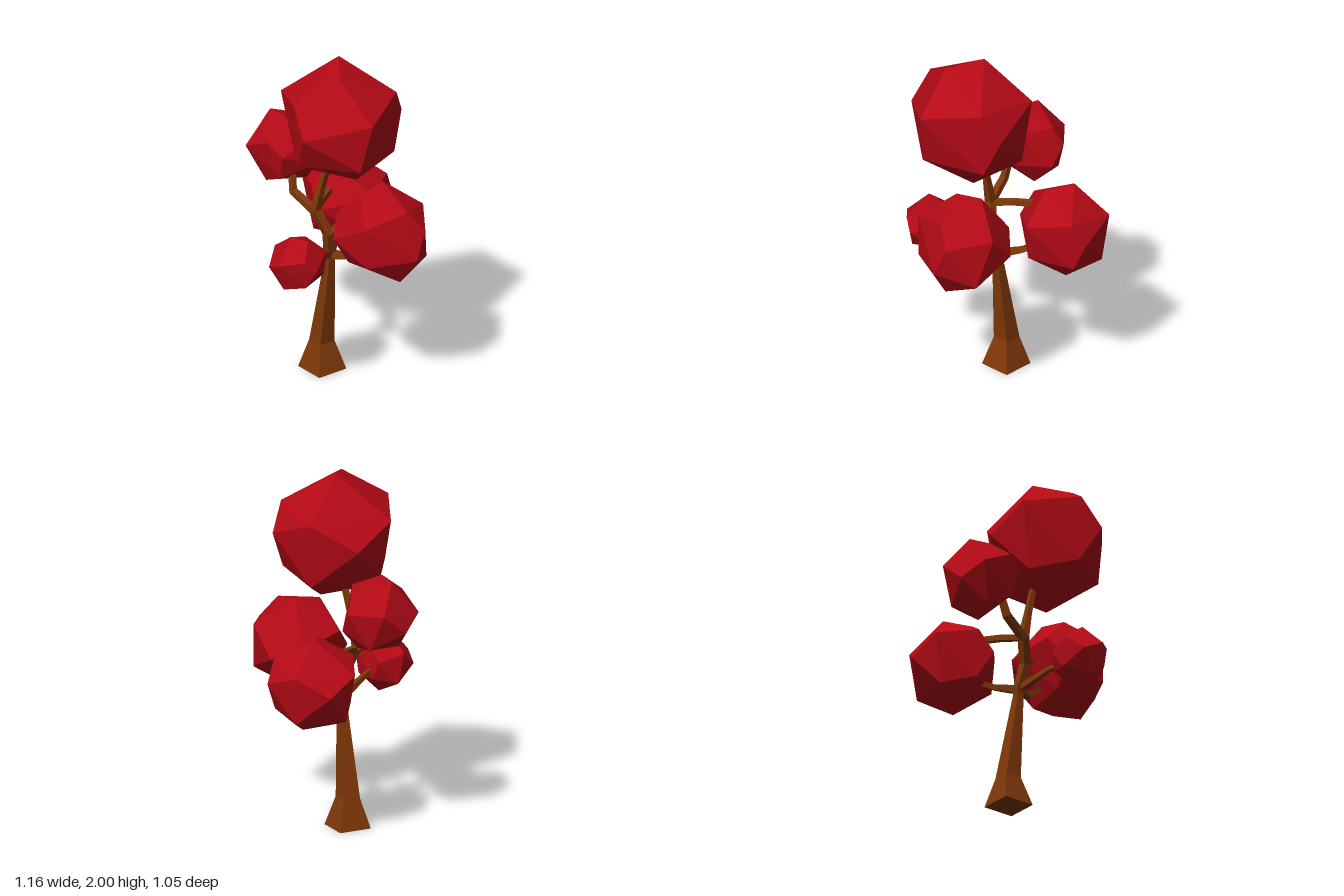
import * as THREE from 'three';
import { ConvexGeometry } from 'three/addons/geometries/ConvexGeometry.js';

const bark = new THREE.MeshStandardMaterial({ color: 0x803808, flatShading: true });
const leaf = new THREE.MeshStandardMaterial({ color: 0xb40a16, flatShading: true });

// Corners of one irregular, faceted leaf clump of radius about 0.36
const CLUMP = [
  [0.36, 0.115, 0.04], [0.12, 0.325, 0.08], [-0.06, 0.365, -0.05], [0.19, 0.175, -0.26],
  [-0.2, 0.13, -0.28], [-0.3, 0.125, 0.17], [0, 0.185, 0.31], [0.12, 0.02, 0.34],
  [0, -0.19, 0.29], [0.3, -0.18, 0.08], [-0.35, -0.015, -0.06], [0.12, 0.015, -0.35],
  [0.06, -0.365, -0.08], [-0.15, -0.245, -0.25], [-0.23, -0.255, 0.13], [0.17, -0.2, -0.26],
];

// Four-sided tapering limb through stations [x, y, z, half width]
function limb(name, stations, level = false) {
  const pts = stations.map(([x, y, z]) => new THREE.Vector3(x, y, z));
  const last = pts.length - 1;
  const span = pts[last].clone().sub(pts[0]);
  const ref = Math.abs(span.z) > 0.7 * span.length()
    ? new THREE.Vector3(1, 0, 0) : new THREE.Vector3(0, 0, 1);
  const rings = pts.map((p, i) => {
    const t = level ? new THREE.Vector3(0, 1, 0)
      : pts[Math.min(i + 1, last)].clone().sub(pts[Math.max(i - 1, 0)]).normalize();
    const u = ref.clone().cross(t).normalize();
    const v = t.clone().cross(u);
    const h = stations[i][3];
    return [[1, 1], [-1, 1], [-1, -1], [1, -1]].map(([a, b]) =>
      p.clone().addScaledVector(u, a * h).addScaledVector(v, b * h));
  });
  const tris = [];
  const quad = (a, b, c, d) => tris.push(a, b, c, a, c, d);
  for (let i = 0; i < last; i++) {
    for (let k = 0; k < 4; k++) {
      const n = (k + 1) % 4;
      quad(rings[i][k], rings[i][n], rings[i + 1][n], rings[i + 1][k]);
    }
  }
  quad(...[...rings[0]].reverse());
  quad(...rings[last]);
  const geo = new THREE.BufferGeometry().setFromPoints(tris);
  geo.computeVertexNormals();
  const mesh = new THREE.Mesh(geo, bark);
  mesh.name = name;
  return mesh;
}

export function createModel() {
  const tree = new THREE.Group();
  tree.name = 'tree';

  // Leaning trunk with a flared foot
  tree.add(limb('trunk', [
    [-0.122, 0, 0.02, 0.095], [-0.125, 0.17, 0.02, 0.05],
    [-0.053, 0.7, 0.02, 0.021], [-0.05, 0.75, 0.02, 0.03],
  ], true));

  // Branches
  tree.add(
    limb('leader', [[-0.05, 0.72, 0.02, 0.026], [-0.03, 0.88, 0.05, 0.024],
      [-0.08, 1.02, 0.1, 0.023], [-0.04, 1.18, 0.09, 0.016], [0.04, 1.45, 0.06, 0.014]]),
    limb('upperBranch', [[-0.08, 1.01, 0.1, 0.02], [-0.23, 1.09, 0.14, 0.018],
      [-0.25, 1.17, 0.13, 0.016], [-0.31, 1.25, 0.1, 0.012]]),
    limb('backBranch', [[-0.05, 0.73, 0.02, 0.022], [-0.14, 0.755, -0.08, 0.016],
      [-0.24, 0.82, -0.2, 0.012]]),
    limb('leftBranch', [[-0.05, 0.73, 0.02, 0.022], [0.06, 0.745, -0.04, 0.016],
      [0.22, 0.87, -0.06, 0.012]]),
    limb('frontBranch', [[-0.05, 0.73, 0.02, 0.02], [0.02, 0.81, 0.2, 0.013],
      [0.08, 0.84, 0.32, 0.01]]),
    limb('leftTwig', [[-0.03, 0.85, 0.05, 0.018], [0, 0.93, 0.01, 0.013], [0.12, 0.97, -0.05, 0.01]]),
    limb('rightTwig', [[-0.08, 1.01, 0.1, 0.016], [-0.15, 1.025, 0, 0.016], [-0.21, 1.03, -0.1, 0.016]]),
  );

  // Leaf clumps: name, centre, scale, rotation
  const clump = new ConvexGeometry(CLUMP.map((p) => new THREE.Vector3(...p)));
  const clumps = [
    ['crownLeaves', [0.1, 1.635, 0.08], 1, [0, 0, 0]],
    ['upperRightLeaves', [-0.37, 1.295, 0.083], 0.61, [0.2, 0.5, 0.35]],
    ['backRightLeaves', [-0.288, 0.915, -0.263], 0.74, [0, 0, 0]],
    ['leftLeaves', [0.308, 0.98, -0.068], 0.77, [0, -0.87, 0.28]],
    ['frontLeaves', [0.109, 0.85, 0.372], 0.455, [0.3, 1.2, 0.2]],
  ];
  for (const [name, centre, scale, turn] of clumps) {
    const mesh = new THREE.Mesh(clump, leaf);
    mesh.name = name;
    mesh.position.set(...centre);
    mesh.scale.setScalar(scale);
    mesh.rotation.set(...turn, 'ZYX');
    tree.add(mesh);
  }
  return tree;
}
